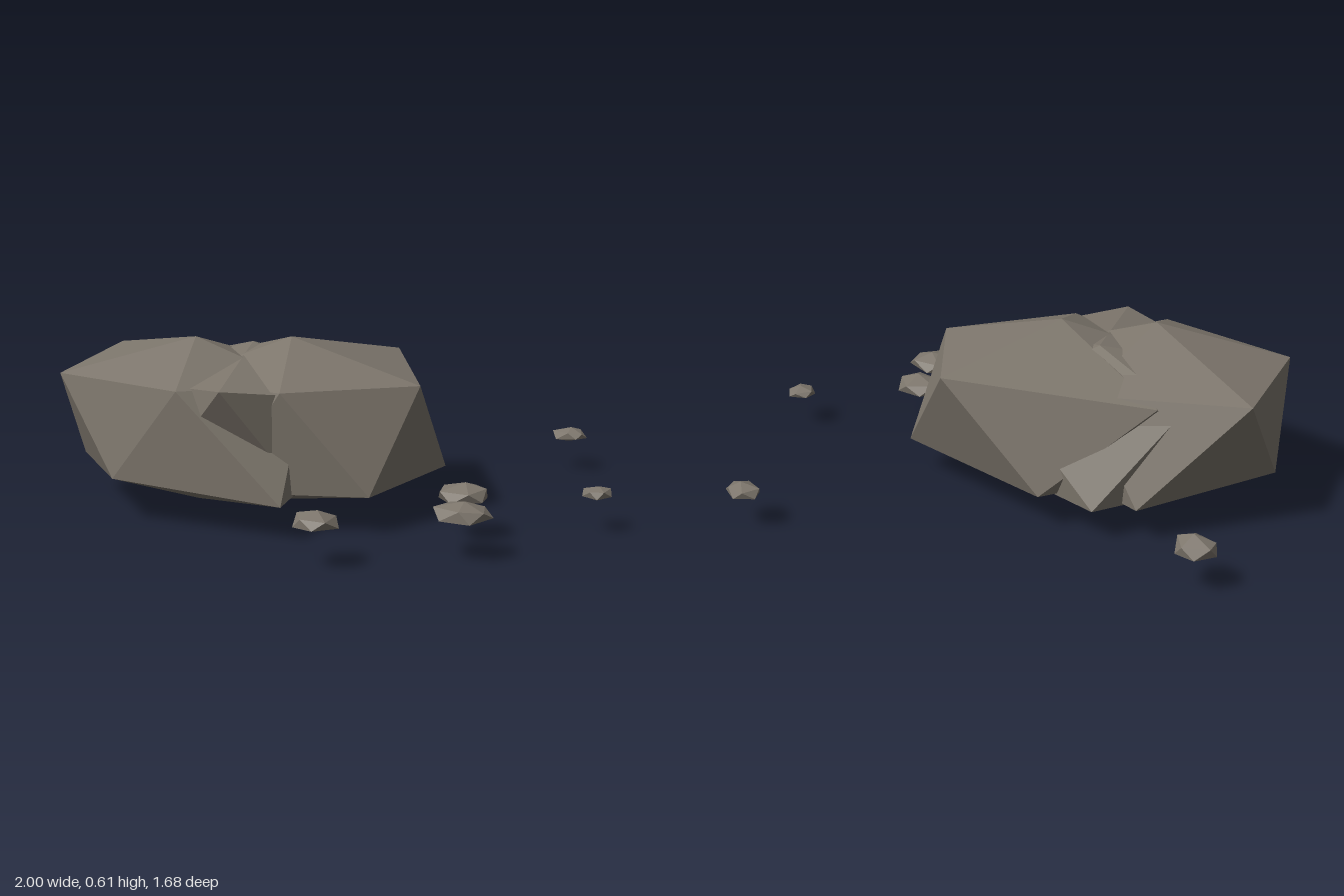
import * as THREE from 'three';

const stone = new THREE.MeshStandardMaterial({ color: 0x7d766c, flatShading: true });
stone.name = 'stone';

// Twenty-sided stone: a peak, an upper and a lower ring of five, and a base point
function makeStone(name, top, upper, lower, base) {
  const p = [];
  for (let i = 0; i < 5; i++) {
    const j = (i + 1) % 5;
    p.push(...top, ...upper[j], ...upper[i]);
    p.push(...upper[i], ...upper[j], ...lower[i]);
    p.push(...lower[i], ...upper[j], ...lower[j]);
    p.push(...base, ...lower[i], ...lower[j]);
  }
  const geo = new THREE.BufferGeometry();
  geo.setAttribute('position', new THREE.Float32BufferAttribute(p, 3));
  geo.computeVertexNormals();
  const mesh = new THREE.Mesh(geo, stone);
  mesh.name = name;
  return mesh;
}

// Small irregular stone; rx, rz are half widths, y0 and y1 the lowest and highest points
function makePebble(name, x, z, rx, rz, y0, y1, seed) {
  let s = seed;
  const rand = () => (s = (s * 16807) % 2147483647) / 2147483647;
  const h = y1 - y0;
  const turn = rand() * 6.28;
  const ring = (offset, y, r) => Array.from({ length: 5 }, (_, i) => {
    const a = turn + (i + offset) * Math.PI * 0.4 + (rand() - 0.5) * 0.3;
    const k = r * (0.95 + rand() * 0.12);
    return [x + Math.cos(a) * rx * k, y + (rand() - 0.5) * h * 0.15, z + Math.sin(a) * rz * k];
  });
  const upper = ring(0, y0 + h * 0.7, 0.9);
  const lower = ring(0.5, y0 + h * 0.25, 1);
  return makeStone(name, [x + rx * 0.1, y1, z], upper, lower, [x, y0, z]);
}

export function createModel() {
  const group = new THREE.Group();
  group.name = 'rockFormation';

  // Three interlocking boulders
  group.add(makeStone('boulderFront',
    [-0.43, 0.605, 0.29],
    [[-0.02, 0.46, 0.25], [-0.3, 0.48, 0.63], [-0.84, 0.48, 0.53], [-0.94, 0.505, 0], [-0.38, 0.47, -0.14]],
    [[0.07, 0.12, 0.59], [-0.57, 0.15, 0.62], [-0.91, 0.14, 0.3], [-0.63, 0.13, -0.2], [-0.05, 0.13, 0]],
    [-0.43, 0.02, 0.29]));
  group.add(makeStone('boulderSide',
    [-0.13, 0.605, 0.14],
    [[0.36, 0.47, 0.13], [0.02, 0.48, 0.5], [-0.48, 0.46, 0.38], [-0.64, 0.46, -0.09], [0.06, 0.505, -0.34]],
    [[0.29, 0.13, 0.38], [-0.2, 0.13, 0.55], [-0.65, 0.14, 0.2], [-0.3, 0.13, -0.29], [0.34, 0.13, -0.14]],
    [-0.33, 0, 0.17]));
  group.add(makeStone('boulderMiddle',
    [-0.32, 0.565, 0.08],
    [[0.2, 0.44, 0.3], [-0.13, 0.495, 0.635], [-0.68, 0.45, 0.42], [-0.72, 0.46, -0.06], [-0.1, 0.44, -0.2]],
    [[0.05, 0.13, 0.42], [-0.45, 0.14, 0.55], [-0.78, 0.13, 0.15], [-0.5, 0.12, -0.27], [0.12, 0.13, -0.12]],
    [-0.3, 0.04, 0.15]));

  // Scattered pebbles: x, z, half widths, lowest and highest y
  const pebbles = [
    [-0.927, -0.355, 0.073, 0.065, 0.12, 0.2],
    [0.575, -0.795, 0.068, 0.05, 0.11, 0.165],
    [0.947, -0.02, 0.052, 0.05, 0.11, 0.155],
    [0.575, 0.257, 0.088, 0.085, 0.112, 0.19],
    [0.66, 0.472, 0.1, 0.082, 0.118, 0.188],
    [0.292, 0.765, 0.077, 0.072, 0.118, 0.185],
  ];
  pebbles.forEach((d, i) => group.add(makePebble('pebble' + (i + 1), ...d, 1234567 * (i + 3))));
  return group;
}
